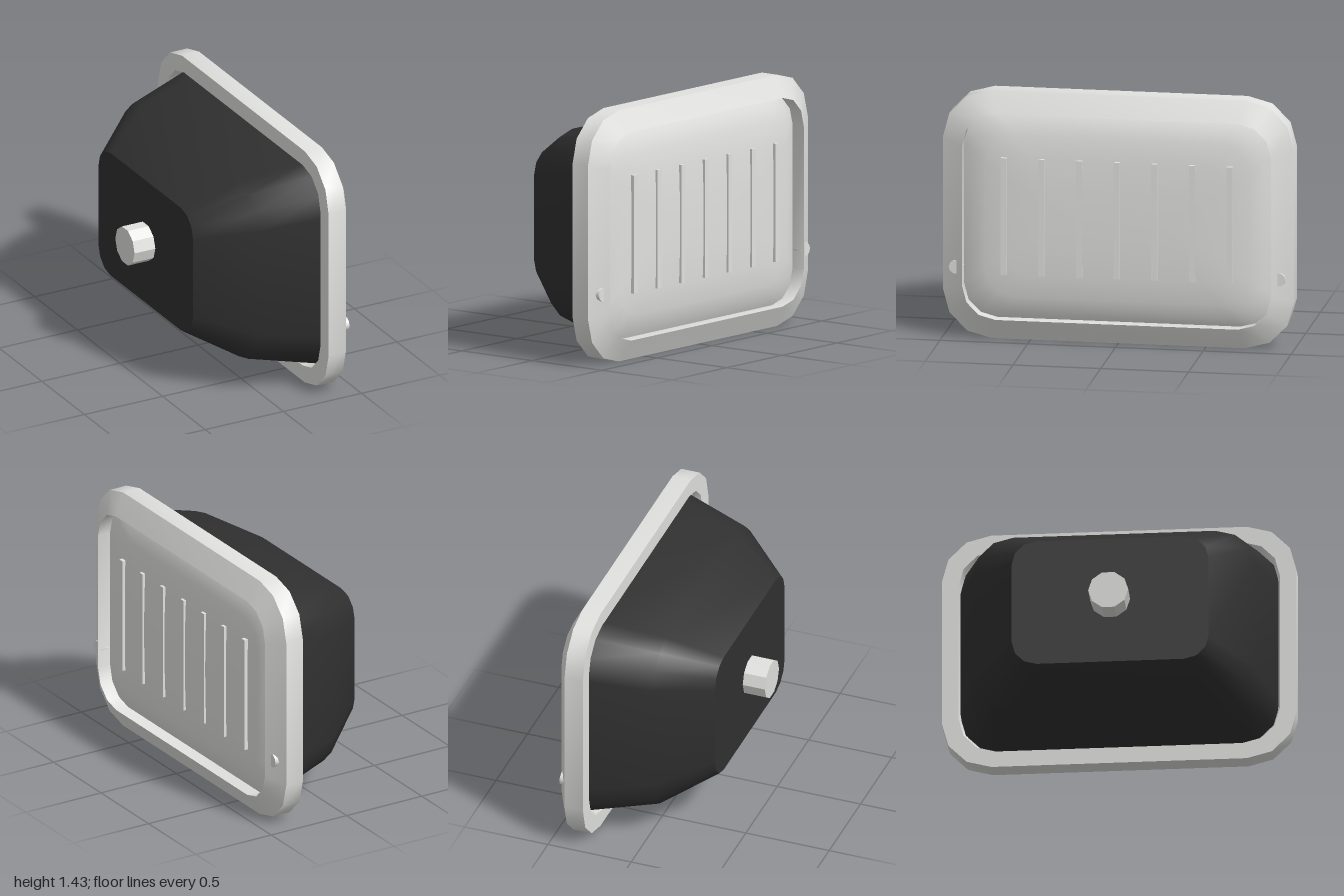
import * as THREE from 'three';
import { toCreasedNormals } from 'three/addons/utils/BufferGeometryUtils.js';

const CY = 0.717; // height of the lamp's axis

// Rounded rectangle in the zy plane: four points per corner
function ring([x, hz, hy, r]) {
  const pts = [];
  for (let q = 0; q < 4; q++) {
    const sz = q === 0 || q === 3 ? 1 : -1;
    const sy = q < 2 ? 1 : -1;
    for (let k = 0; k < 4; k++) {
      const a = (q + k / 3) * Math.PI / 2;
      pts.push([x, CY + sy * (hy - r) + r * Math.sin(a), sz * (hz - r) + r * Math.cos(a)]);
    }
  }
  return pts;
}

// Skin over sections of [x, half width, half height, corner radius]
function loft(sections, crease = 0.62) {
  const pos = [];
  const rings = sections.map(ring);
  for (let i = 0; i < rings.length - 1; i++) {
    for (let j = 0; j < 16; j++) {
      const n = (j + 1) % 16;
      const a = rings[i][j], b = rings[i][n], c = rings[i + 1][n], d = rings[i + 1][j];
      pos.push(...a, ...d, ...c, ...a, ...c, ...b);
    }
  }
  const geo = new THREE.BufferGeometry();
  geo.setAttribute('position', new THREE.Float32BufferAttribute(pos, 3));
  return toCreasedNormals(geo, crease);
}

export function createModel() {
  const group = new THREE.Group();
  group.name = 'lamp';

  const black = new THREE.MeshStandardMaterial({ color: 0x303030 });
  black.name = 'black housing';
  const grey = new THREE.MeshStandardMaterial({ color: 0xe1e2df });
  grey.name = 'light grey';

  const add = (name, geo, mat, x = 0, y = 0, z = 0) => {
    const mesh = new THREE.Mesh(geo, mat);
    mesh.name = name;
    mesh.position.set(x, y, z);
    group.add(mesh);
  };

  // Tapered bowl reaching into the rim, closed at both ends
  add('housing', loft([
    [-0.335, 0.18, 0, 0],
    [-0.335, 0.555, 0.38, 0.14],
    [-0.05, 0.79, 0.54, 0.22],
    [0.335, 0.903, 0.619, 0.25],
    [0.335, 0.28, 0, 0],
  ]), black);

  // Bevelled frame around the lens
  add('rim', loft([
    [0.29, 1, 0.717, 0.28],
    [0.4, 1, 0.717, 0.28],
    [0.465, 0.88, 0.595, 0.19],
    [0.36, 0.882, 0.597, 0.19],
    [0.29, 0.905, 0.622, 0.21],
    [0.29, 1, 0.717, 0.28],
  ]), grey);

  // Domed lens, set back at its edge
  add('lens', loft([
    [0.382, 0.885, 0.6, 0.19],
    [0.412, 0.83, 0.545, 0.18],
    [0.434, 0.75, 0.465, 0.16],
    [0.447, 0.62, 0.34, 0.13],
    [0.453, 0.42, 0.16, 0.08],
    [0.454, 0.26, 0, 0],
  ]), grey);

  // Upright ribs on the lens
  for (let i = -3; i <= 3; i++) {
    add('lensRib', new THREE.BoxGeometry(0.04, 0.675, 0.034), grey, 0.443, 0.722, i * 0.2145);
  }

  // Screws in the lower part of the rim
  for (const side of [1, -1]) {
    const screw = new THREE.CylinderGeometry(0.04, 0.04, 0.055, 10);
    screw.rotateZ(-Math.PI / 2);
    add('screw', toCreasedNormals(screw, 0.7), grey, 0.419, 0.415, side * 0.919);
  }

  // Ten-sided stub at the back
  const stub = new THREE.CylinderGeometry(0.113, 0.113, 0.145, 10);
  stub.rotateZ(Math.PI / 2);
  add('rearStub', toCreasedNormals(stub, 0.3), grey, -0.3955, 0.72, 0);

  return group;
}
